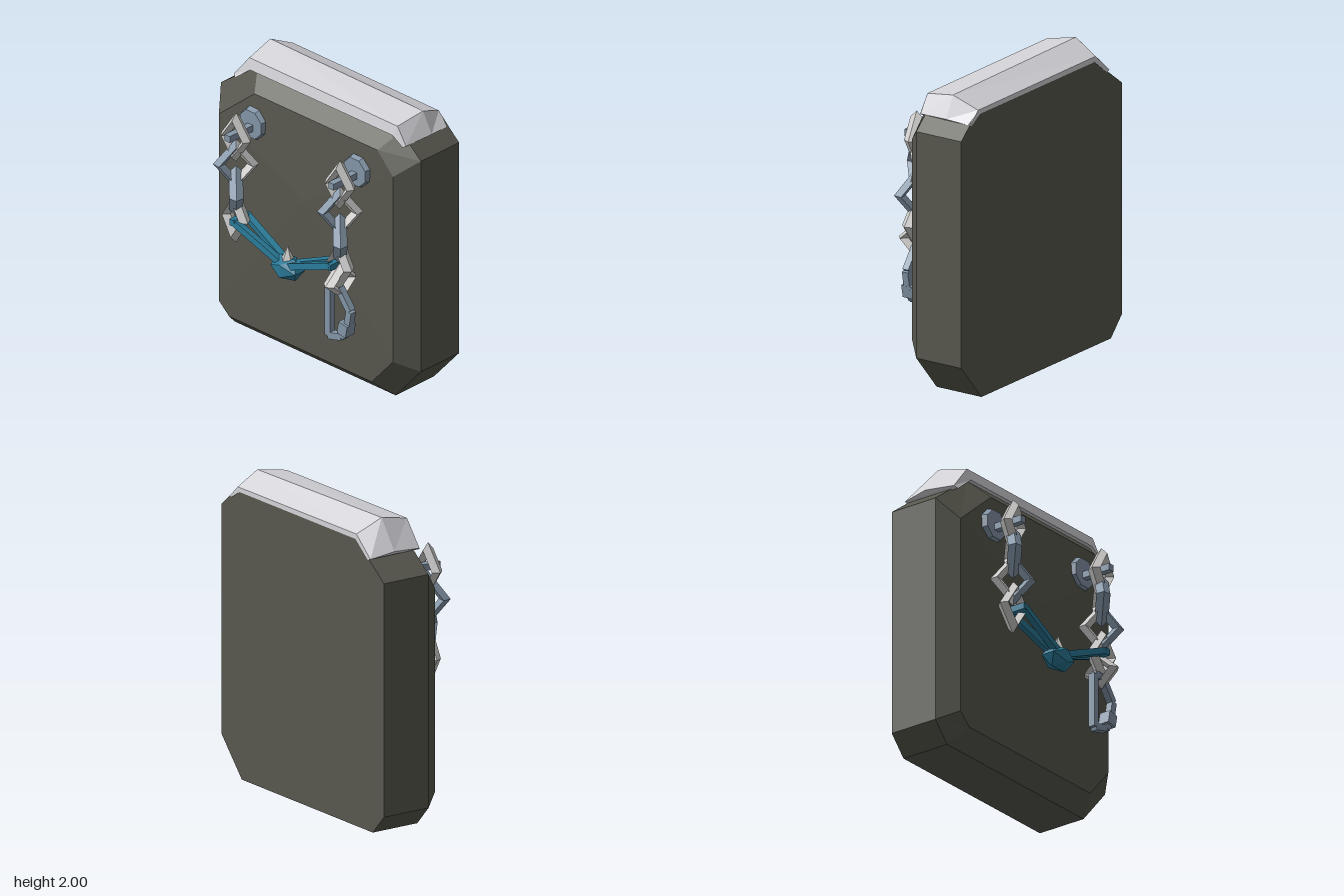
import * as THREE from 'three';

const mat = (name, color) => {
  const m = new THREE.MeshStandardMaterial({ color });
  m.name = name;
  return m;
};
const V = (x, y, z) => new THREE.Vector3(x, y, z);

// Faceted normals for the low-poly look
function flat(geo) {
  const g = geo.index ? geo.toNonIndexed() : geo;
  g.computeVertexNormals();
  return g;
}

// Skin a series of closed cross-sections with equal point counts
function loft(rings) {
  const pos = [];
  const n = rings[0].length;
  for (let i = 0; i < rings.length - 1; i++) {
    for (let j = 0; j < n; j++) {
      const k = (j + 1) % n;
      const a = rings[i][j], b = rings[i][k], c = rings[i + 1][k], d = rings[i + 1][j];
      pos.push(...a, ...b, ...c, ...a, ...c, ...d);
    }
  }
  const g = new THREE.BufferGeometry();
  g.setAttribute('position', new THREE.Float32BufferAttribute(pos, 3));
  g.computeVertexNormals();
  return g;
}

export function createModel() {
  const stone = mat('dark stone', 0x58584f);
  const snow = mat('pale cap', 0xd4d4d9);
  const silver = mat('light metal', 0xcfcecd);
  const slate = mat('blue grey metal', 0x8597a9);
  const teal = mat('teal', 0x2a7a98);
  const model = new THREE.Group();

  const add = (parent, name, geo, material, x = 0, y = 0, z = 0) => {
    const m = new THREE.Mesh(flat(geo), material);
    m.name = name;
    m.position.set(x, y, z);
    parent.add(m);
    return m;
  };

  // Square bar between two points
  const bar = (parent, name, a, b, r, material) => {
    const d = b.clone().sub(a);
    const geo = new THREE.CylinderGeometry(r, r, d.length(), 4).rotateY(Math.PI / 4);
    const m = add(parent, name, geo, material);
    m.position.copy(a).add(b).multiplyScalar(0.5);
    m.quaternion.setFromUnitVectors(V(0, 1, 0), d.normalize());
    return m;
  };

  // Slab: eight-cornered, bevelled in front, face rising to a shallow point
  const outer = [[-0.75, 0], [0.65, 0], [0.87, 0.25], [0.87, 1.75],
    [0.7, 1.9], [-0.55, 1.9], [-0.87, 1.66], [-0.87, 0.13]];
  const inner = [[-0.68, 0.11], [0.56, 0.11], [0.745, 0.32], [0.745, 1.64],
    [0.61, 1.78], [-0.46, 1.78], [-0.77, 1.52], [-0.77, 0.19]];
  const at = (pts, z) => pts.map(([x, y]) => [x, y, z]);
  add(model, 'slab', loft([
    outer.map(() => [0, 1, -0.39]), at(outer, -0.39), at(outer, -0.045),
    at(inner, 0.078), inner.map(() => [0, 1.2, 0.12]),
  ]), stone);

  // Cap: ridged cross-sections drooping over both upper corners
  // each section: bottom, back top, ridge and front top as [x, y]
  const section = ([bx, by], [kx, ky], [rx, ry], [fx, fy]) => [
    [bx, by, 0.005], [bx, by, -0.393], [kx, ky, -0.393], [rx, ry, -0.22], [fx, fy, -0.01]];
  const caps = [
    section([-0.7, 1.775], [-0.73, 1.785], [-0.745, 1.81], [-0.725, 1.79]),
    section([-0.57, 1.88], [-0.58, 1.915], [-0.61, 2.0], [-0.59, 1.955]),
    section([0.67, 1.88], [0.69, 1.91], [0.72, 1.985], [0.7, 1.95]),
    section([0.76, 1.825], [0.775, 1.83], [0.795, 1.845], [0.775, 1.835]),
  ];
  const first = caps[0].map(() => [-0.725, 1.785, -0.2]);
  const last = caps[3].map(() => [0.775, 1.83, -0.2]);
  add(model, 'cap', loft([first, ...caps, last]), snow);

  // Diamond link made of two halves, turned about the vertical axis
  const link = (parent, y, turn, w, h, rightMat, leftMat) => {
    const g = new THREE.Group();
    g.name = 'link';
    [rightMat, leftMat].forEach((m, i) => {
      const half = new THREE.TorusGeometry(0.74, 0.26, 4, 2, Math.PI)
        .rotateZ(-Math.PI / 2 + i * Math.PI).scale(w, h, 0.17);
      add(g, i ? 'linkLeftHalf' : 'linkRightHalf', half, m);
    });
    g.position.set(0, y, 0.25);
    g.rotation.y = turn;
    parent.add(g);
  };

  // Wall mounts and hanging chains
  for (const x of [-0.455, 0.45]) {
    const chain = new THREE.Group();
    chain.name = x < 0 ? 'rightChain' : 'leftChain';
    chain.position.x = x;
    const disc = new THREE.CylinderGeometry(0.1, 0.12, 0.06, 8).rotateY(Math.PI / 8).rotateX(Math.PI / 2);
    add(chain, 'mountPlate', disc, slate, 0, 1.58, 0.09);
    add(chain, 'mountPeg', new THREE.BoxGeometry(0.045, 0.045, 0.25), slate, 0, 1.56, 0.205);
    link(chain, 1.54, 0.12, 0.115, 0.175, silver, silver);
    link(chain, 1.35, Math.PI / 4, 0.145, 0.18, silver, slate);
    link(chain, 1.16, -Math.PI / 4, 0.145, 0.18, slate, silver);
    link(chain, 0.97, -0.12, 0.118, 0.18, silver, silver);
    if (x > 0) link(chain, 0.86, Math.PI / 2, 0.135, 0.12, silver, silver);
    model.add(chain);
  }

  // Twin teal strands slung between the chains
  const sling = new THREE.Group();
  sling.name = 'sling';
  for (const s of [-1, 1]) {
    bar(sling, 'backStrand', V(s * 0.42, 0.975, 0.19), V(0, 0.8, 0.24), 0.03, teal);
    bar(sling, 'frontStrand', V(s * 0.42, 0.975, 0.305), V(0, 0.8, 0.275), 0.03, teal);
    bar(sling, 'strandEnd', V(s * 0.42, 0.97, 0.17), V(s * 0.42, 0.97, 0.325), 0.03, teal);
  }
  add(sling, 'centreKnot', new THREE.IcosahedronGeometry(1, 0).scale(0.125, 0.085, 0.09), teal, 0, 0.785, 0.255);
  add(sling, 'knotSpike', new THREE.ConeGeometry(0.045, 0.1, 5), silver, 0, 0.89, 0.255);
  model.add(sling);

  // Open hook hanging below the longer chain
  const hook = new THREE.Group();
  hook.name = 'hook';
  const path = [[0.365, 0.81], [0.45, 0.81], [0.55, 0.68], [0.525, 0.54], [0.48, 0.475], [0.365, 0.445]];
  path.forEach(([x, y], i) => {
    const [nx, ny] = path[(i + 1) % path.length];
    bar(hook, 'hookBar', V(x, y, 0.255), V(nx, ny, 0.255), 0.032, slate);
  });
  const sleeve = add(hook, 'hookSleeve', new THREE.BoxGeometry(0.075, 0.085, 0.08), slate, 0.51, 0.545, 0.255);
  sleeve.rotation.z = -0.2;
  model.add(hook);

  return model;
}
